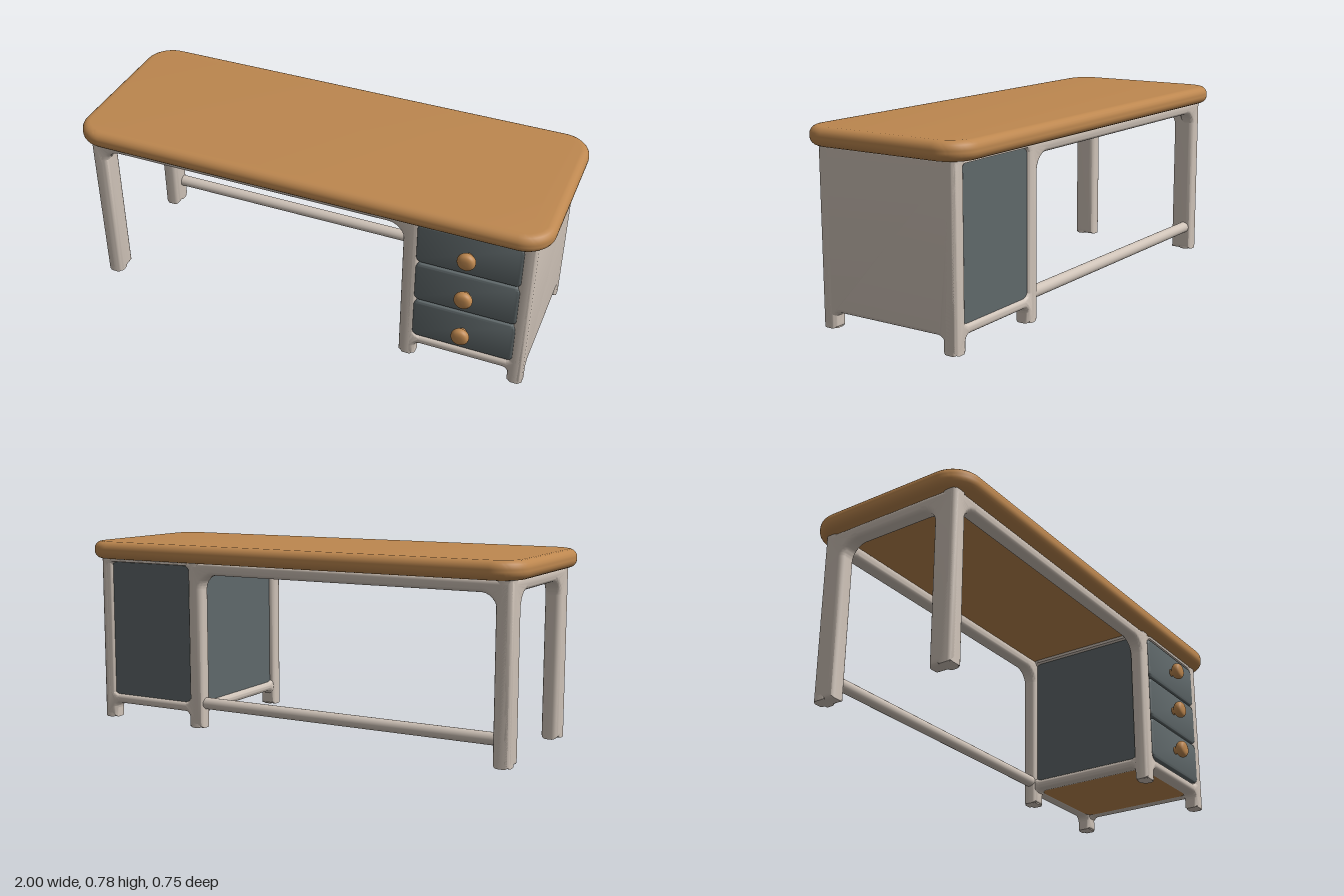
import * as THREE from 'three';
import { toCreasedNormals } from 'three/addons/utils/BufferGeometryUtils.js';

const wood = new THREE.MeshStandardMaterial({ color: 0xbd874f });
wood.name = 'wood';
const cream = new THREE.MeshStandardMaterial({ color: 0xcfc3b8 });
cream.name = 'cream';
const slate = new THREE.MeshStandardMaterial({ color: 0x5f686a });
slate.name = 'slate';

// Rounded rectangle, usable as a shape or a hole
function roundedRect(x0, y0, x1, y1, r, Type = THREE.Shape) {
  const s = new Type();
  s.moveTo(x0 + r, y0);
  s.lineTo(x1 - r, y0);
  s.absarc(x1 - r, y0 + r, r, -Math.PI / 2, 0);
  s.lineTo(x1, y1 - r);
  s.absarc(x1 - r, y1 - r, r, 0, Math.PI / 2);
  s.lineTo(x0 + r, y1);
  s.absarc(x0 + r, y1 - r, r, Math.PI / 2, Math.PI);
  s.lineTo(x0, y0 + r);
  s.absarc(x0 + r, y0 + r, r, Math.PI, Math.PI * 1.5);
  return s;
}

// Two legs joined by a rail, with rounded inner corners
function portal(x0, x1, legWidth, railY, r, top = 0.71) {
  const a = x0 + legWidth, b = x1 - legWidth;
  const s = new THREE.Shape();
  s.moveTo(x0, 0);
  s.lineTo(a, 0);
  s.lineTo(a, railY - r);
  s.absarc(a + r, railY - r, r, Math.PI, Math.PI / 2, true);
  s.lineTo(b - r, railY);
  s.absarc(b - r, railY - r, r, Math.PI / 2, 0, true);
  s.lineTo(b, 0);
  s.lineTo(x1, 0);
  s.lineTo(x1, top);
  s.lineTo(x0, top);
  s.closePath();
  return s;
}

// Extrusion centred on z with softened edges that stay within the outline
function slab(shape, depth, bevel) {
  const g = new THREE.ExtrudeGeometry(shape, {
    depth: depth - 2 * bevel, bevelEnabled: true, bevelThickness: bevel,
    bevelSize: bevel, bevelOffset: -bevel, bevelSegments: 5, curveSegments: 10,
  });
  g.translate(0, 0, bevel - depth / 2);
  return toCreasedNormals(g, 0.7);
}

export function createModel() {
  const desk = new THREE.Group();
  desk.name = 'desk';
  const add = (name, geometry, material, x = 0, y = 0, z = 0) => {
    const m = new THREE.Mesh(geometry, material);
    m.name = name;
    m.position.set(x, y, z);
    desk.add(m);
    return m;
  };

  // Table top
  const top = slab(roundedRect(-1, -0.376, 1, 0.376, 0.12), 0.075, 0.033);
  top.rotateX(-Math.PI / 2);
  add('tableTop', top, wood, 0, 0.7425, 0);

  // Front and back frames: knee opening and cabinet surround
  for (const side of [1, -1]) {
    const label = side > 0 ? 'front' : 'back';
    add(label + 'KneeFrame', slab(portal(-0.955, 0.49, 0.067, 0.655, 0.065), 0.065, 0.022),
      cream, 0, 0, side * 0.2875);
    const surround = portal(0.43, 0.95, 0.063, 0.065, 0.025);
    surround.holes.push(roundedRect(0.487, 0.107, 0.9, 0.688, 0.03, THREE.Path));
    add(label + 'CabinetFrame', slab(surround, 0.065, 0.018), cream, 0, 0, side * 0.2875);
  }

  // Frames running front to back
  const sideways = (shape, depth, bevel) => slab(shape, depth, bevel).rotateY(Math.PI / 2);
  add('rightEndFrame', sideways(portal(-0.32, 0.32, 0.1, 0.655, 0.065), 0.07, 0.022), cream, -0.92);
  add('cabinetOuterSide', sideways(portal(-0.32, 0.32, 0.06, 0.065, 0.03), 0.06, 0.018), cream, 0.92);
  const inner = portal(-0.32, 0.32, 0.06, 0.065, 0.03);
  inner.holes.push(roundedRect(-0.265, 0.107, 0.265, 0.688, 0.03, THREE.Path));
  add('cabinetInnerFrame', sideways(inner, 0.06, 0.018), cream, 0.46);

  // Low stretcher between the back legs
  const bar = new THREE.CylinderGeometry(0.025, 0.025, 1.38, 20).rotateZ(Math.PI / 2);
  add('stretcher', bar, cream, -0.23, 0.105, -0.285);

  // Cabinet body and its underside
  add('cabinetBody', new THREE.BoxGeometry(0.465, 0.625, 0.604), slate, 0.6775, 0.392, -0.007);
  add('cabinetBottom', new THREE.BoxGeometry(0.46, 0.009, 0.57), wood, 0.69, 0.0725, 0);

  // Drawers with turned knobs
  const knobProfile = [[0.017, 0], [0.017, 0.012], [0.028, 0.02], [0.036, 0.03],
    [0.037, 0.042], [0.031, 0.053], [0.018, 0.058], [0, 0.059]];
  const curve = new THREE.SplineCurve(knobProfile.map(p => new THREE.Vector2(...p)));
  const knob = new THREE.LatheGeometry(
    curve.getPoints(24).map(p => new THREE.Vector2(Math.max(p.x, 0), p.y)), 28).rotateX(Math.PI / 2);
  const drawer = slab(roundedRect(-0.212, -0.093, 0.212, 0.093, 0.025), 0.05, 0.01);
  [0.207, 0.4, 0.593].forEach((y, i) => {
    add('drawer' + (i + 1), drawer, slate, 0.693, y, 0.297);
    add('knob' + (i + 1), knob, wood, 0.693, y, 0.319);
  });
  return desk;
}
